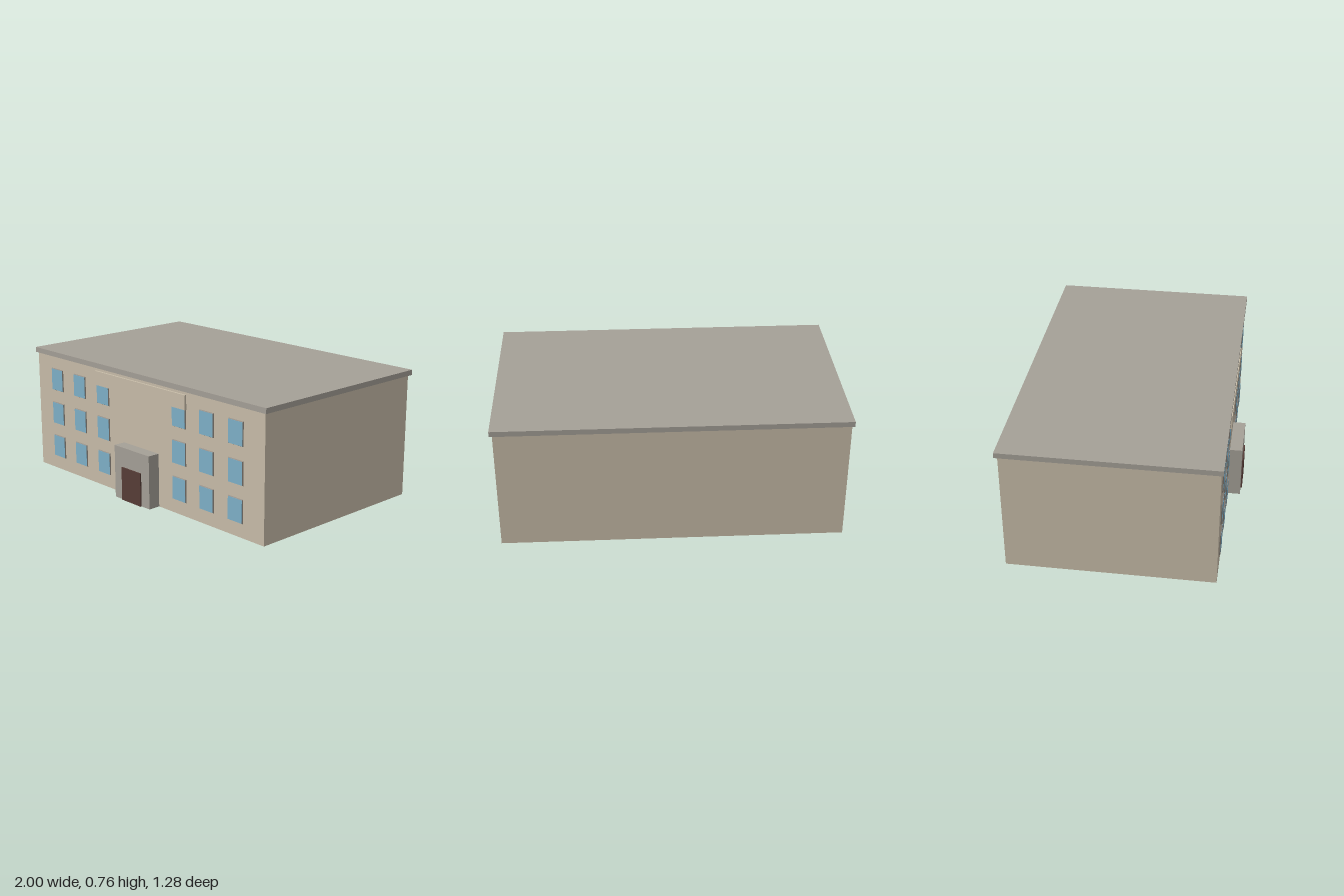
import * as THREE from 'three';

const mat = (name, color) => {
  const m = new THREE.MeshStandardMaterial({ color });
  m.name = name;
  return m;
};

export function createModel() {
  const wall = mat('wall stone', 0xc8bda9);
  const grey = mat('roof grey', 0xa5a097);
  const glass = mat('window glass', 0x7fb1c9);
  const frame = mat('window frame', 0x8f8880);
  const wood = mat('door wood', 0x573d37);

  const building = new THREE.Group();
  building.name = 'building';

  // Box given by its minimum and maximum along each axis
  const box = (name, material, [x0, x1], [y0, y1], [z0, z1], parent = building) => {
    const mesh = new THREE.Mesh(new THREE.BoxGeometry(x1 - x0, y1 - y0, z1 - z0), material);
    mesh.position.set((x0 + x1) / 2, (y0 + y1) / 2, (z0 + z1) / 2);
    mesh.name = name;
    parent.add(mesh);
    return mesh;
  };

  // Main block and overhanging flat roof
  box('walls', wall, [-0.988, 0.985], [0, 0.727], [-0.623, 0.56]);
  box('roof', grey, [-1, 1], [0.727, 0.758], [-0.64, 0.572]);

  // Entrance porch, door and blank panel above
  box('porch', grey, [-0.155, 0.15], [0, 0.318], [0.55, 0.634]);
  box('door', wood, [-0.086, 0.081], [0, 0.2], [0.633, 0.642]);
  box('panel', wall, [-0.398, 0.391], [0.625, 0.71], [0.564, 0.576]);

  // Grid of windows: a tapered frame with a glass pane on its front
  const w = 0.114, h = 0.14, taper = 0.004;
  const frameGeometry = new THREE.BoxGeometry(w, h, 0.007);
  const p = frameGeometry.attributes.position;
  for (let i = 0; i < p.count; i++) {
    if (p.getZ(i) > 0) {
      p.setX(i, p.getX(i) - Math.sign(p.getX(i)) * taper);
      p.setY(i, p.getY(i) - Math.sign(p.getY(i)) * taper);
    }
  }
  frameGeometry.computeVertexNormals();
  const windows = new THREE.Group();
  windows.name = 'windows';
  building.add(windows);
  for (const x of [-0.793, -0.569, -0.344, 0.327, 0.549, 0.773]) {
    for (const y of [0.15, 0.364, 0.58]) {
      const surround = new THREE.Mesh(frameGeometry, frame);
      surround.name = 'windowFrame';
      surround.position.set(x, y, 0.5625);
      windows.add(surround);
      const gx = w / 2 - taper, gy = h / 2 - taper;
      box('windowPane', glass, [x - gx, x + gx], [y - gy, y + gy], [0.564, 0.567], windows);
    }
  }
  return building;
}
